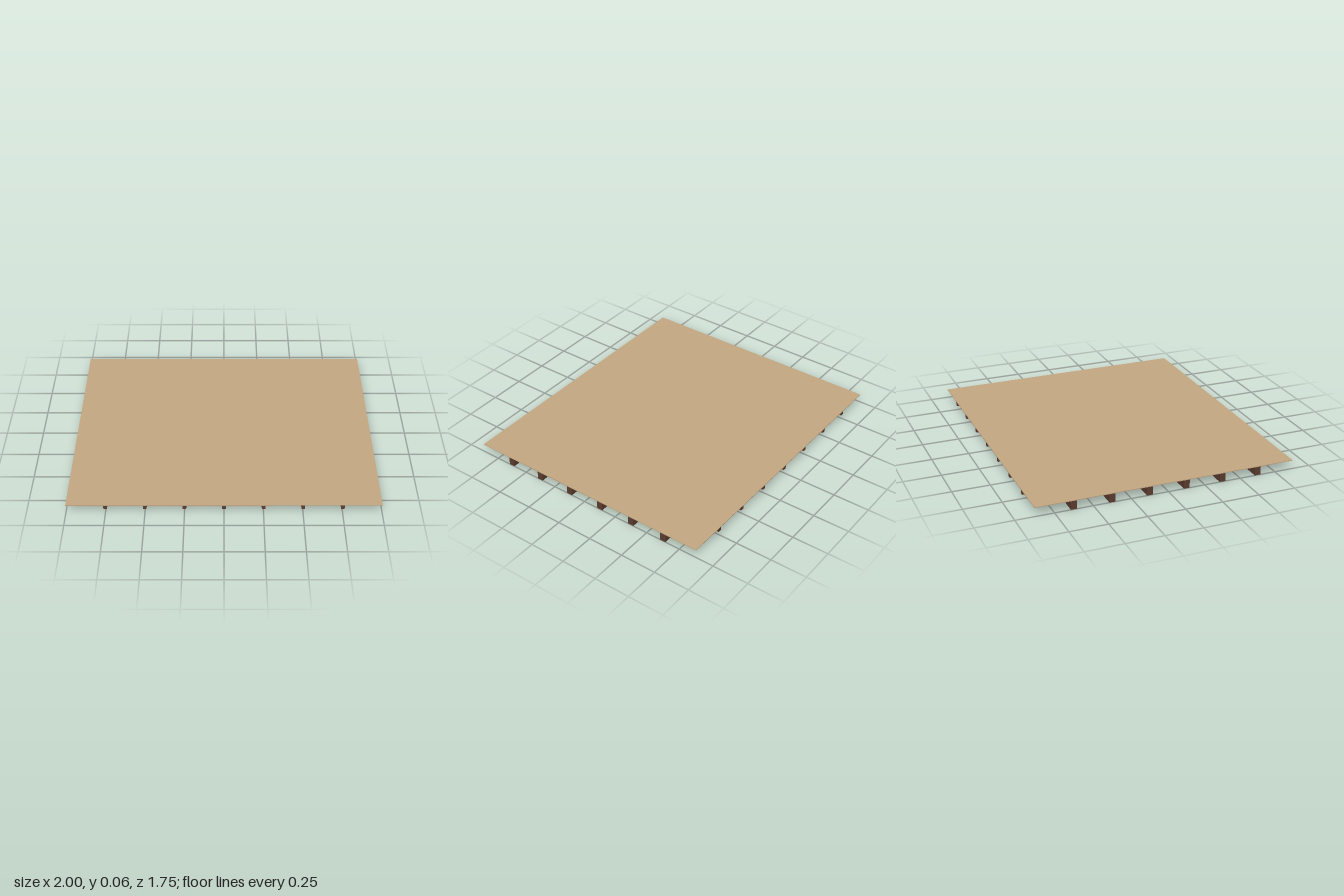
import * as THREE from 'three';

export function createModel() {
  const group = new THREE.Group();
  const plaster = new THREE.MeshStandardMaterial({ color: 0xc4a882 });
  plaster.name = 'tan panel';
  const wood = new THREE.MeshStandardMaterial({ color: 0x5c3d2e });
  wood.name = 'dark wood';

  // Box given by its centre in plan and its bottom and top heights
  function slab(name, material, width, depth, bottom, top, x, z) {
    const mesh = new THREE.Mesh(new THREE.BoxGeometry(width, top - bottom, depth), material);
    mesh.name = name;
    mesh.position.set(x, (bottom + top) / 2, z);
    group.add(mesh);
  }

  // Thin panel on top
  slab('panel', plaster, 2, 1.75, 0.057, 0.062, 0, 0);

  // Deep main beams running left to right
  for (let i = 0; i < 6; i++) {
    slab('beam', wood, 2, 0.04, 0, 0.057, 0, -0.625 + i * 0.25);
  }

  // Shallow joists running front to back
  for (let i = 0; i < 7; i++) {
    slab('joist', wood, 0.023, 1.75, 0.032, 0.057, -0.75 + i * 0.25, 0);
  }
  return group;
}
